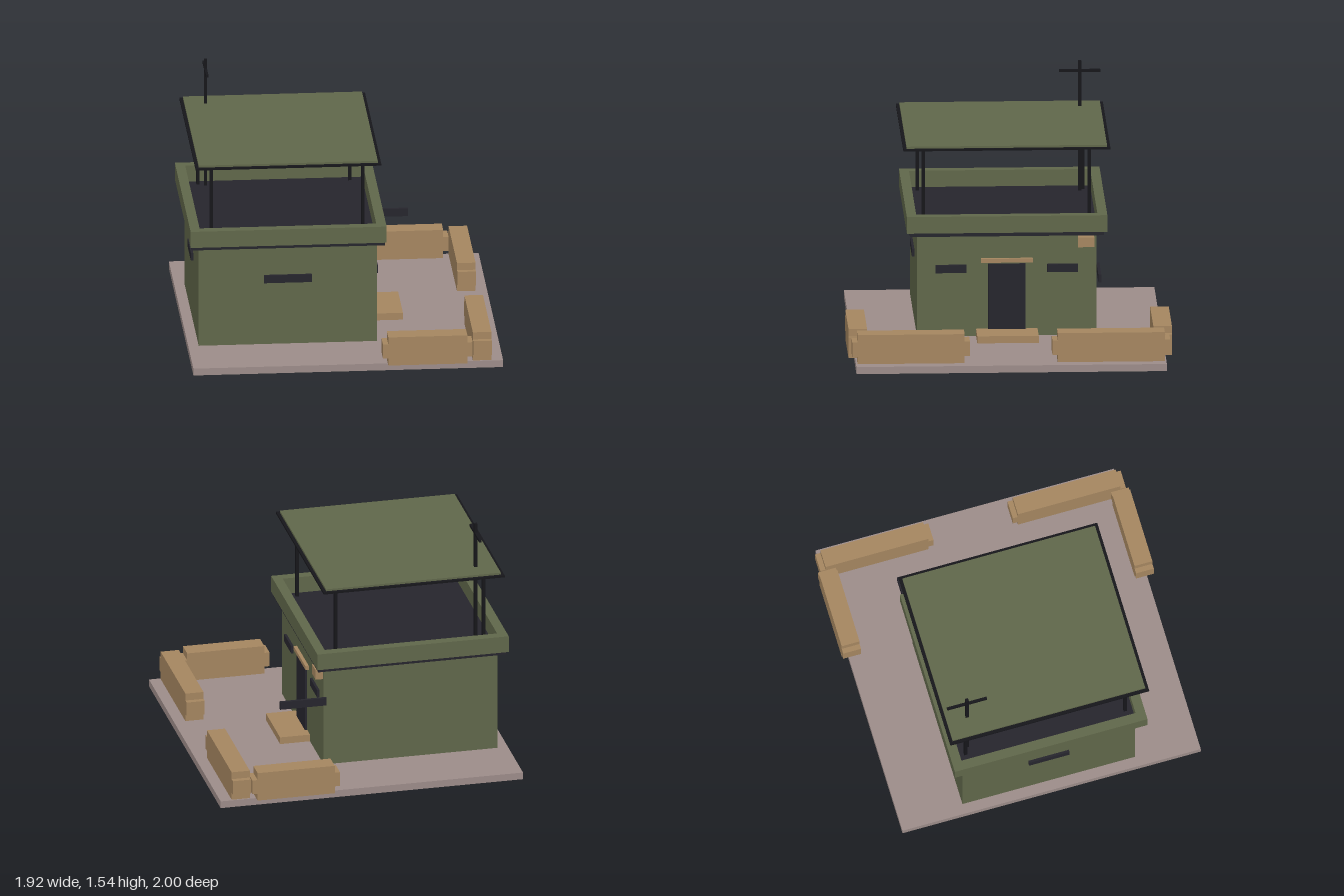
import * as THREE from 'three';

const mat = (color) => new THREE.MeshStandardMaterial({ color });

export function createModel() {
  const model = new THREE.Group();
  const green = mat(0x60674a), dark = mat(0x26252d), black = mat(0x16161a);
  const tan = mat(0xa58660), stone = mat(0x9c8c89);

  // Box given by its extents along x, y and z
  function box(name, material, [x0, x1], [y0, y1], [z0, z1], parent = model) {
    const mesh = new THREE.Mesh(new THREE.BoxGeometry(x1 - x0, y1 - y0, z1 - z0), material);
    mesh.position.set((x0 + x1) / 2, (y0 + y1) / 2, (z0 + z1) / 2);
    mesh.name = name;
    parent.add(mesh);
    return mesh;
  }

  // Ground slab and main block
  box('groundSlab', stone, [-0.96, 0.96], [0, 0.045], [-0.96, 0.96]);
  box('walls', green, [-0.895, 0.21], [0.045, 0.69], [-0.555, 0.555]);
  box('deck', dark, [-0.94, 0.255], [0.69, 0.716], [-0.6, 0.6]);

  // Parapet around the deck
  const parapet = new THREE.Group();
  parapet.name = 'parapet';
  model.add(parapet);
  for (const [x0, x1] of [[-0.95, -0.89], [0.205, 0.265]])
    box('parapetSide', green, [x0, x1], [0.714, 0.82], [-0.62, 0.62], parapet);
  for (const [z0, z1] of [[-0.62, -0.56], [0.56, 0.62]])
    box('parapetEnd', green, [-0.89, 0.205], [0.714, 0.82], [z0, z1], parapet);

  // Canopy on four posts
  for (const x of [-0.815, 0.125])
    for (const z of [-0.513, 0.513])
      box('canopyPost', black, [x - 0.01, x + 0.01], [0.71, 1.232], [z - 0.01, z + 0.01]);
  box('canopyFrame', black, [-0.92, 0.23], [1.23, 1.242], [-0.64, 0.64]);
  box('canopyRoof', green, [-0.9, 0.21], [1.24, 1.255], [-0.62, 0.62]);

  // Mast with crossbar
  box('mast', black, [-0.78, -0.76], [0.71, 1.545], [-0.5, -0.48]);
  box('mastCrossbar', black, [-0.778, -0.762], [1.472, 1.488], [-0.618, -0.362]);

  // Doorway
  box('door', dark, [0.2, 0.225], [0.085, 0.505], [-0.115, 0.115]);
  box('lintel', tan, [0.2, 0.232], [0.515, 0.54], [-0.16, 0.16]);
  box('doorStep', tan, [0.21, 0.4], [0.045, 0.09], [-0.19, 0.19]);
  box('wallBox', tan, [0.205, 0.257], [0.615, 0.678], [-0.54, -0.44]);

  // Window slits and the projecting rail
  const slitY = [0.45, 0.5];
  box('frontSlit', dark, [-0.49, -0.195], slitY, [0.545, 0.57]);
  box('rearSlit', dark, [-0.91, -0.885], slitY, [-0.13, 0.13]);
  box('doorSlitLeft', dark, [0.2, 0.225], slitY, [0.25, 0.44]);
  box('doorSlitRight', dark, [0.2, 0.225], slitY, [-0.44, -0.25]);
  box('sideRail', dark, [0.195, 0.49], slitY, [-0.573, -0.555]);

  // Barricades: short outer courses, longer middle courses, mirrored in z
  const insets = [0.033, 0, 0, 0.033];
  const h = 0.185 / insets.length;
  for (const s of [1, -1]) {
    const barricade = new THREE.Group();
    barricade.name = s > 0 ? 'frontBarricade' : 'backBarricade';
    model.add(barricade);
    const span = (a, b) => (s > 0 ? [a, b] : [-b, -a]);
    insets.forEach((d, i) => {
      const y = [0.045 + i * h, 0.045 + (i + 1) * h];
      box('endCourse', tan, [0.212 + d, 0.768 - d], y, span(0.885, 1), barricade);
      box('sideCourse', tan, [0.773, 0.888], y, span(0.255 + d, 0.983 - d), barricade);
    });
  }
  return model;
}
